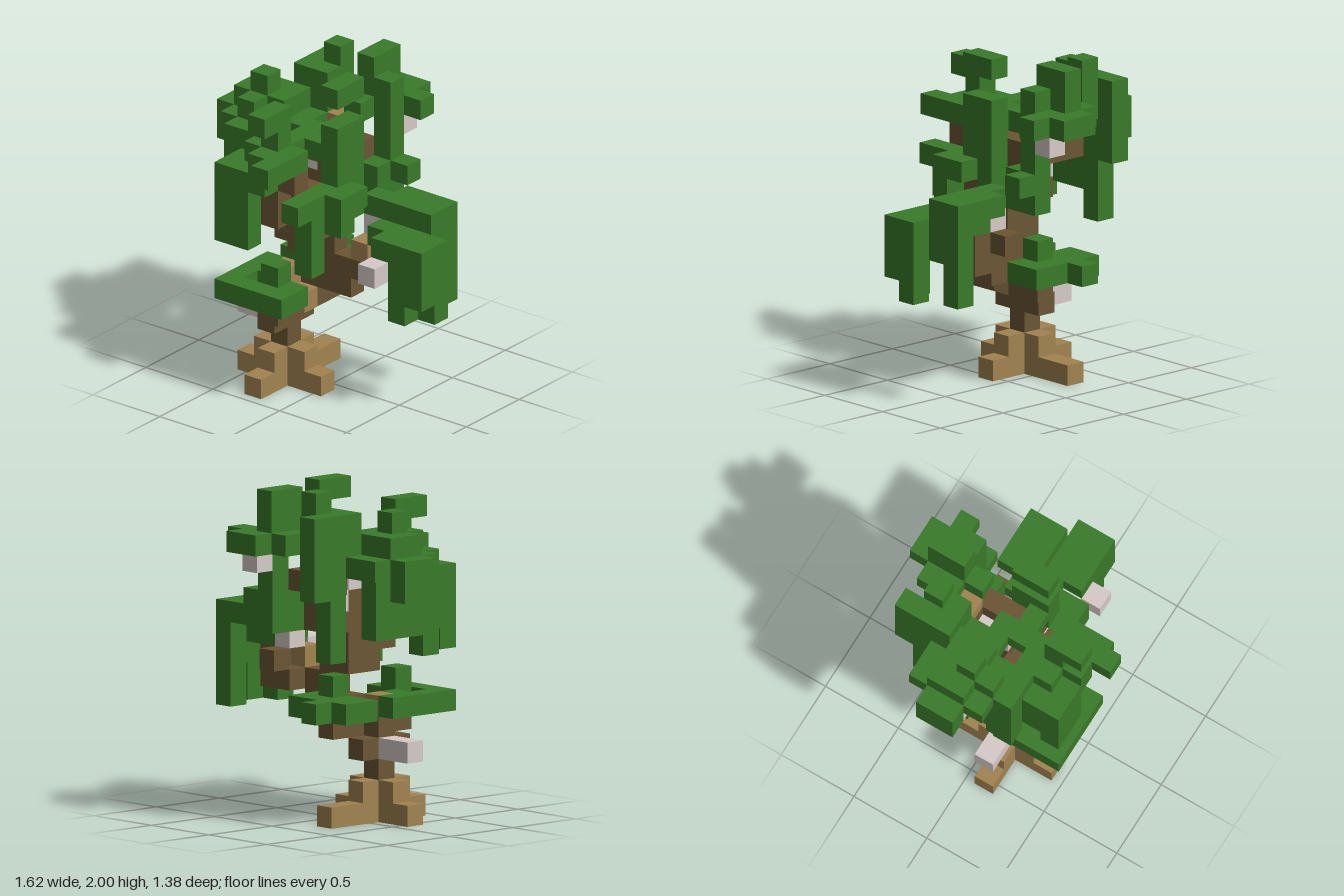
import * as THREE from 'three';

const U = 0.125; // size of one block

const mat = (name, color) => {
  const m = new THREE.MeshStandardMaterial({ color });
  m.name = name;
  return m;
};

// the six sides of a block: outward direction and the plane that draws it
const SIDES = [[1, 0, 0], [-1, 0, 0], [0, 1, 0], [0, -1, 0], [0, 0, 1], [0, 0, -1]].map((d) => {
  const plane = new THREE.PlaneGeometry(U, U);
  const v = new THREE.Vector3(...d);
  plane.applyQuaternion(new THREE.Quaternion().setFromUnitVectors(new THREE.Vector3(0, 0, 1), v));
  plane.translate(v.x * U / 2, v.y * U / 2, v.z * U / 2);
  return { d, pos: plane.toNonIndexed().attributes.position };
});

export function createModel() {
  const group = new THREE.Group();
  const grid = new Map();
  const parts = [];

  // fill boxes of blocks; x counts 0-12, y 0-15, z 0-10 from the back; later parts replace earlier ones
  const part = (name, material, ...boxes) => {
    const p = { name, material, cells: [] };
    parts.push(p);
    for (const [x0, x1, y0, y1, z0, z1] of boxes)
      for (let x = x0; x <= x1; x++)
        for (let y = y0; y <= y1; y++)
          for (let z = z0; z <= z1; z++) grid.set([x, y, z].join(), p);
  };

  const leaf = mat('leaf green', 0x397a29);
  const bark = mat('dark bark', 0x6b5634);
  const wood = mat('light wood', 0xa18351);
  const pale = mat('pale blossom', 0xd6cac8);

  // roots and trunk
  part('roots', wood, [2, 6, 0, 0, 6, 6], [4, 4, 0, 0, 3, 8], [3, 5, 1, 1, 6, 6], [4, 4, 1, 1, 5, 7]);
  part('lowerTrunk', bark, [4, 4, 2, 4, 6, 6], [4, 4, 3, 3, 5, 7], [5, 5, 4, 4, 4, 8]);
  part('upperTrunk', bark,
    [5, 7, 5, 5, 5, 5], [6, 6, 6, 6, 5, 5], [5, 6, 7, 7, 5, 5], [5, 5, 7, 7, 6, 6],
    [5, 6, 8, 8, 5, 7], [5, 6, 9, 9, 4, 7], [5, 6, 10, 10, 4, 5], [6, 6, 11, 11, 3, 5], [5, 5, 11, 11, 3, 3]);
  part('backBranch', bark, [4, 4, 11, 12, 3, 3]);
  part('frontBranch', bark,
    [5, 5, 9, 10, 8, 8], [4, 4, 9, 9, 7, 8], [4, 4, 10, 10, 6, 7], [5, 6, 10, 10, 7, 7], [6, 6, 11, 11, 8, 8]);
  part('sideBranch', bark, [7, 8, 6, 6, 5, 5], [8, 9, 6, 6, 4, 4], [9, 9, 7, 7, 4, 4], [8, 8, 7, 7, 3, 3]);

  // low leaf plates
  part('lowFrontLeaves', leaf,
    [3, 6, 5, 5, 9, 9], [3, 3, 5, 5, 6, 8], [5, 6, 5, 5, 8, 8], [4, 4, 5, 5, 7, 7], [5, 5, 6, 6, 8, 8]);
  part('lowBackLeaves', leaf, [3, 6, 5, 5, 3, 4], [4, 4, 5, 5, 2, 2], [5, 5, 6, 6, 4, 4]);

  // drooping leaves on the side branch
  part('sideLeaves', leaf,
    [9, 11, 9, 9, 3, 4], [8, 8, 9, 9, 4, 4], [9, 11, 8, 8, 4, 4], [9, 12, 8, 8, 5, 5], [10, 12, 8, 8, 6, 6]);
  part('sideHangingLeaves', leaf,
    [11, 12, 6, 7, 6, 6], [11, 11, 5, 5, 6, 6], [12, 12, 5, 7, 5, 5], [11, 11, 5, 8, 3, 3], [11, 11, 7, 7, 4, 4]);

  // outer canopy
  part('outerCanopy', leaf,
    [0, 0, 12, 12, 4, 5], [0, 0, 11, 11, 4, 5], [1, 2, 12, 12, 3, 6], [1, 2, 13, 13, 4, 5],
    [2, 2, 13, 13, 6, 6], [2, 2, 14, 14, 5, 5], [3, 3, 13, 13, 3, 5]);
  part('outerHangingLeaves', leaf, [2, 2, 9, 11, 4, 6], [2, 2, 8, 12, 7, 7], [3, 3, 9, 11, 7, 8]);

  // front canopy
  part('frontCanopy', leaf,
    [3, 3, 12, 12, 4, 7], [4, 4, 12, 12, 4, 5], [4, 4, 12, 12, 7, 8], [5, 5, 12, 12, 5, 9],
    [6, 6, 12, 12, 6, 6], [6, 6, 12, 12, 8, 10],
    [5, 5, 13, 13, 8, 8], [5, 5, 14, 14, 8, 9], [5, 5, 11, 11, 9, 9]);
  part('frontHangingLeaves', leaf, [3, 4, 8, 11, 9, 9], [7, 7, 7, 10, 8, 8], [7, 7, 10, 10, 9, 9]);
  part('innerSideLeaves', leaf,
    [8, 8, 9, 10, 7, 7], [7, 7, 10, 10, 7, 7], [8, 8, 10, 10, 6, 6], [7, 7, 11, 11, 5, 6], [7, 7, 9, 10, 5, 5]);
  part('topSideLeaves', leaf, [7, 7, 12, 13, 5, 6], [7, 7, 15, 15, 5, 6]);

  // back canopy
  part('backCanopy', leaf,
    [3, 4, 14, 14, 2, 3], [4, 4, 15, 15, 2, 2], [3, 4, 13, 13, 2, 3], [5, 7, 13, 13, 1, 2],
    [6, 7, 13, 13, 0, 0], [8, 8, 13, 13, 1, 1], [6, 6, 13, 13, 3, 3], [6, 6, 14, 15, 1, 2], [7, 7, 14, 14, 2, 2]);
  part('backHangingLeaves', leaf,
    [3, 3, 11, 14, 1, 1], [3, 3, 8, 12, 2, 2], [7, 7, 9, 12, 2, 2],
    [7, 7, 9, 10, 3, 3], [8, 8, 10, 10, 2, 2]);

  // exposed wood and blossoms
  part('cutWood', wood, [5, 5, 4, 4, 6, 6], [4, 4, 5, 5, 6, 6], [8, 8, 7, 7, 5, 5], [5, 5, 12, 12, 3, 3]);
  part('blossoms', pale,
    [2, 3, 3, 3, 6, 6], [8, 8, 8, 8, 4, 4], [10, 10, 7, 7, 7, 7], [1, 1, 11, 11, 5, 5],
    [7, 7, 12, 12, 1, 1], [5, 5, 10, 10, 4, 4], [5, 5, 11, 11, 5, 5], [5, 5, 11, 11, 7, 7]);

  // draw only the block sides that touch air
  for (const [key, p] of grid) p.cells.push(key.split(',').map(Number));
  for (const p of parts) {
    const pts = [];
    for (const [x, y, z] of p.cells) {
      for (const { d, pos } of SIDES) {
        if (grid.has([x + d[0], y + d[1], z + d[2]].join())) continue;
        for (let n = 0; n < pos.count; n++)
          pts.push(pos.getX(n) + (x - 6) * U, pos.getY(n) + (y + 0.5) * U, pos.getZ(n) + (z - 5) * U);
      }
    }
    const geo = new THREE.BufferGeometry();
    geo.setAttribute('position', new THREE.Float32BufferAttribute(pts, 3));
    geo.computeVertexNormals();
    const mesh = new THREE.Mesh(geo, p.material);
    mesh.name = p.name;
    group.add(mesh);
  }
  return group;
}
